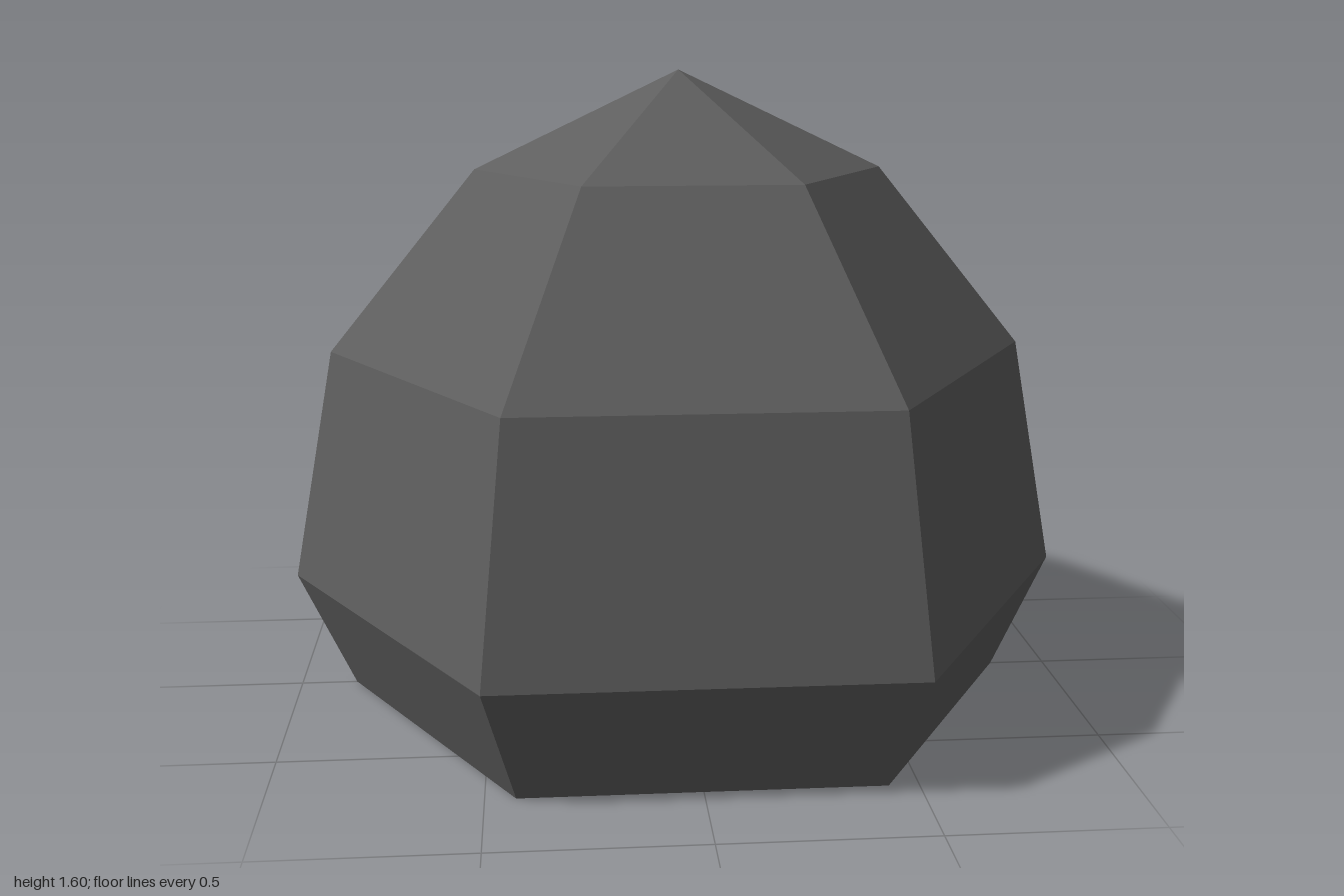
import * as THREE from 'three';

export function createModel() {
  const model = new THREE.Group();
  model.name = 'facetedStone';

  const stoneGrey = new THREE.MeshStandardMaterial({ color: 0x5e5e5e, flatShading: true });
  stoneGrey.name = 'stoneGrey';

  // Corner radius and height of each ring, from the closed base to the peak
  const profile = [
    [0, 0], [0.857, 0], [1, 0.3], [0.89, 0.895], [0.515, 1.357], [0, 1.603],
  ].map(([r, y]) => new THREE.Vector2(r, y));

  // Six-sided body with corners on the x axis
  const body = new THREE.Mesh(new THREE.LatheGeometry(profile, 6, Math.PI / 2), stoneGrey);
  body.name = 'stoneBody';
  model.add(body);

  return model;
}
